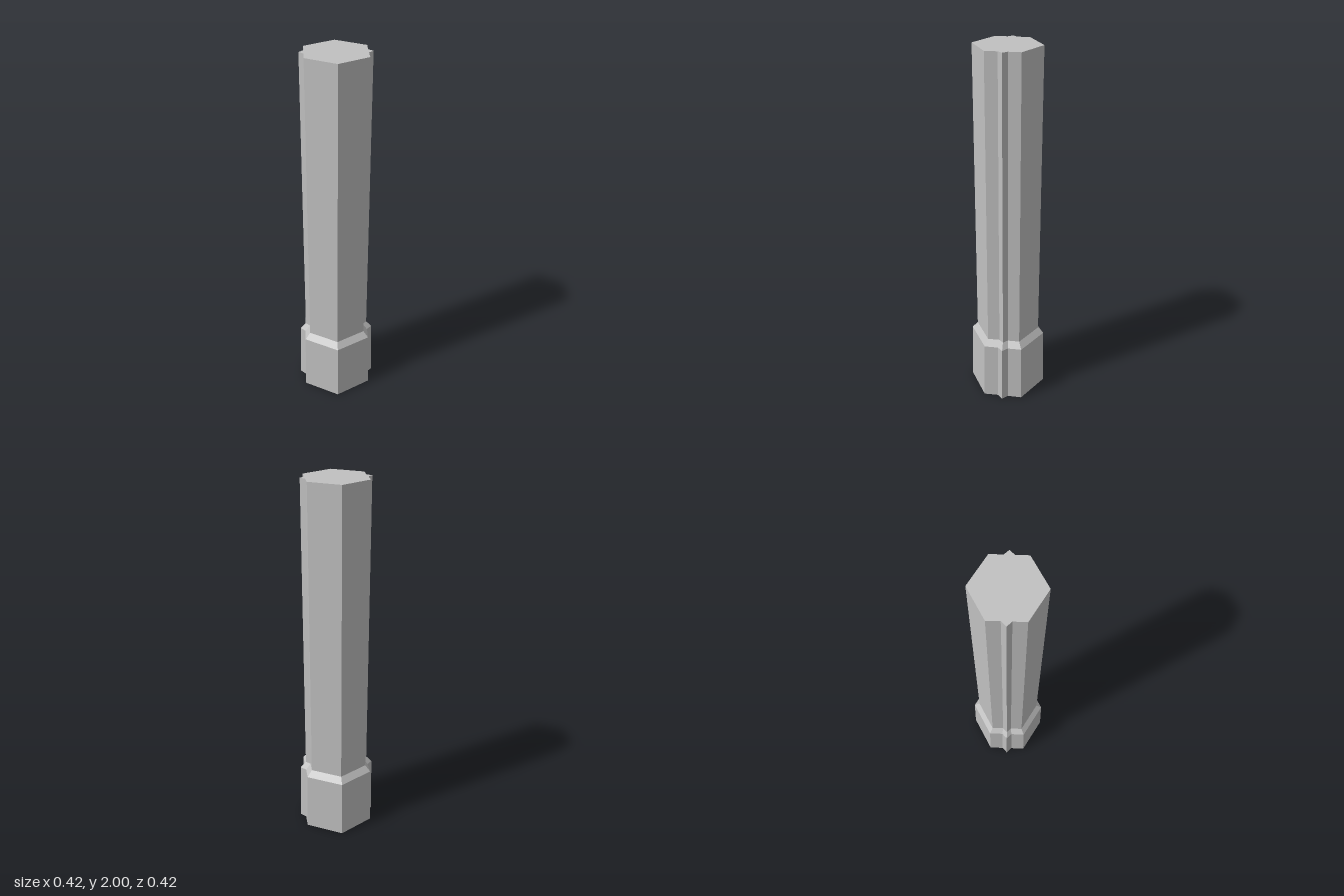
import * as THREE from 'three';

// Half of the outline (x, z) at the foot: a hexagon side carrying a square-cornered rib, then a plain corner
const HALF = [[0.208, 0.056], [0.152, 0.111], [0.152, 0.152], [0.111, 0.152], [0.056, 0.208], [-0.152, 0.152]];
// The other half is the same, turned by 180 degrees
const OUTLINE = [...HALF, ...HALF.map(([x, z]) => [-x, -z])];

// Lofts the outline through [y, scale] levels, optionally closing either end
function loft(levels, capBottom, capTop) {
  const pos = [];
  const n = OUTLINE.length;
  const at = (i, [y, s]) => [OUTLINE[i % n][0] * s, y, OUTLINE[i % n][1] * s];
  const tri = (a, b, c) => pos.push(...a, ...b, ...c);
  const first = levels[0];
  const last = levels[levels.length - 1];
  for (let i = 0; i < n; i++) {
    for (let k = 0; k < levels.length - 1; k++) {
      const a = at(i, levels[k]), b = at(i + 1, levels[k]);
      const c = at(i + 1, levels[k + 1]), d = at(i, levels[k + 1]);
      tri(a, d, b);
      tri(b, d, c);
    }
    if (capBottom) tri([0, first[0], 0], at(i, first), at(i + 1, first));
    if (capTop) tri([0, last[0], 0], at(i + 1, last), at(i, last));
  }
  const geometry = new THREE.BufferGeometry();
  geometry.setAttribute('position', new THREE.Float32BufferAttribute(pos, 3));
  geometry.computeVertexNormals();
  return geometry;
}

export function createModel() {
  const group = new THREE.Group();
  group.name = 'ribbedColumn';
  const grey = new THREE.MeshStandardMaterial({ color: 0xc0c0c0 });
  grey.name = 'stoneGrey';

  const add = (name, geometry) => {
    const mesh = new THREE.Mesh(geometry, grey);
    mesh.name = name;
    group.add(mesh);
  };

  // Slightly tapered foot with a chamfer up to the shaft
  add('base', loft([[0, 1], [0.335, 0.968], [0.37, 0.825]], true, false));
  // Straight shaft with a flat top
  add('shaft', loft([[0.37, 0.825], [2, 0.825]], false, true));
  return group;
}
